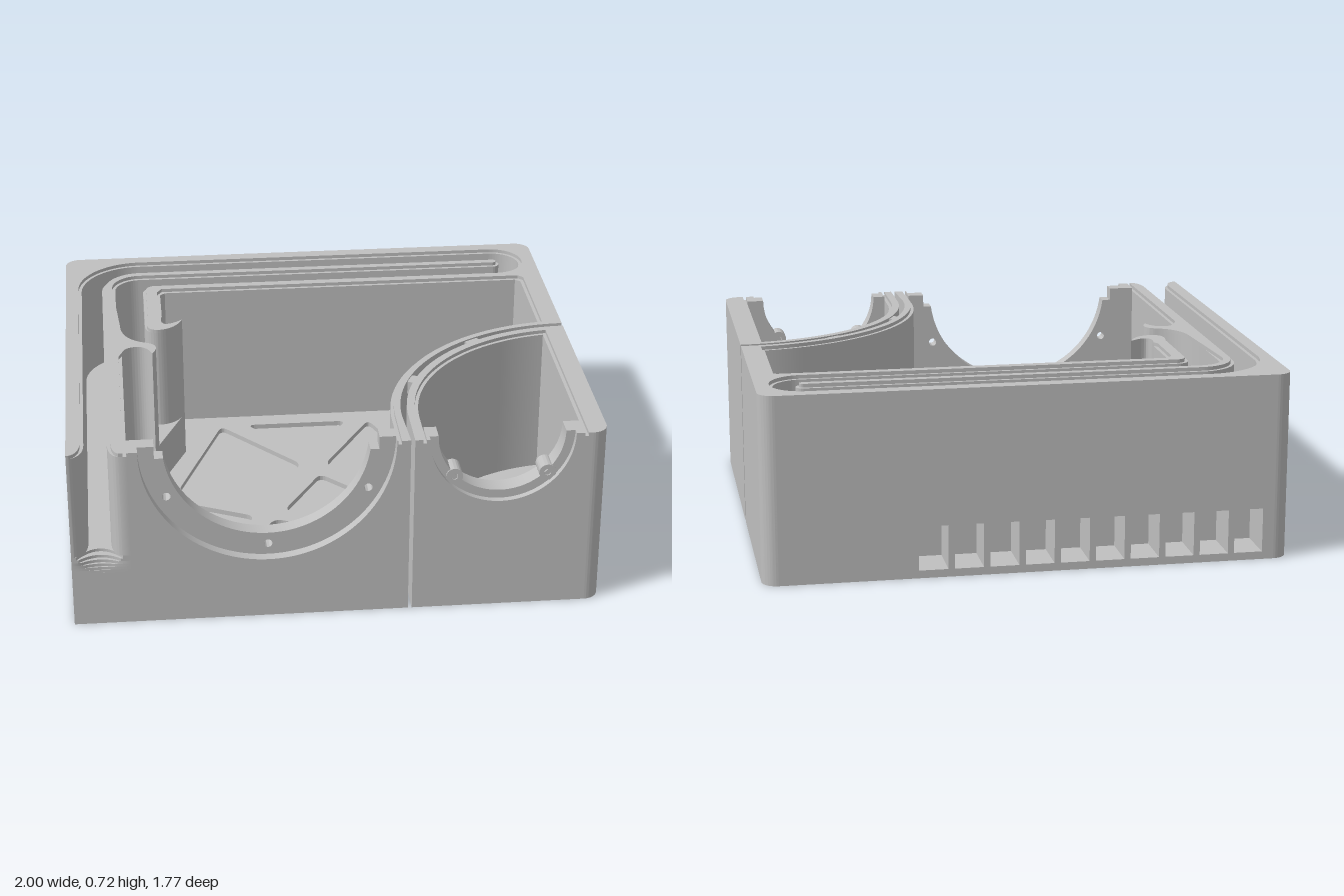
import * as THREE from 'three';
import { toCreasedNormals } from 'three/addons/utils/BufferGeometryUtils.js';

const PI = Math.PI;
const H = 0.72, FLOOR = 0.11, VENT = 0.2, SCOOP = 0.22, DUCT = 0.29, LIP = 0.706;
const CV = -0.685, SLIT = 0.735; // centre and radius of the curved slit (x = 1)

export function createModel() {
  const root = new THREE.Group();
  const grey = new THREE.MeshStandardMaterial({ color: 0xc0c0c0 });
  grey.name = 'grey';

  const add = (name, geo) => {
    const mesh = new THREE.Mesh(toCreasedNormals(geo, 0.5), grey);
    mesh.name = name;
    root.add(mesh);
    return mesh;
  };
  const extrude = (shape, depth) =>
    new THREE.ExtrudeGeometry(shape, { depth, bevelEnabled: false, curveSegments: 32 });
  // plan shapes use (x, -z) and rise from y0 to y1
  const layer = (name, shape, y0, y1) =>
    add(name, extrude(shape, y1 - y0).rotateX(-PI / 2).translate(0, y0, 0));
  // upright shapes use (x, y) and run from z0 to z1
  const panel = (name, shape, z0, z1) => add(name, extrude(shape, z1 - z0).translate(0, 0, z0));
  const disc = (x, y, r) => new THREE.Path().absarc(x, y, r, 0, PI * 2, false);

  // outer edge of the main part, from the slit round to the front left corner
  const mainOuter = (s, vents) => {
    s.lineTo(0.262, -0.885);
    s.absarc(1, CV, SLIT + 0.012, PI, PI / 2, true);
    s.absarc(0.94, 0.825, 0.06, 0, PI / 2, false);
    if (vents) for (let i = 0; i < 10; i++) {
      const x = 0.42 - i * 0.134;
      s.lineTo(x, 0.885); s.lineTo(x, 0.715); s.lineTo(x - 0.11, 0.715); s.lineTo(x - 0.11, 0.885);
    }
    s.absarc(-0.94, 0.825, 0.06, PI / 2, PI, false);
    if (vents) for (let i = 0; i < 12; i++) {
      const v = 0.7 - i * 0.1325;
      s.lineTo(-1, v); s.lineTo(-0.83, v); s.lineTo(-0.83, v - 0.11); s.lineTo(-1, v - 0.11);
    }
    s.lineTo(-1, -0.885);
    return s;
  };
  const mainPlan = (vents) => mainOuter(new THREE.Shape().moveTo(-1, -0.885), vents);

  // right part of the main chamber wall, down to the front beside the slit
  const chamberRight = (s, e) => {
    s.lineTo(0.89 + e, 0.535 + e);
    s.lineTo(0.91 + e, 0.515 + e);
    const r = SLIT + 0.05 - e;
    s.absarc(1, CV, r, PI - Math.acos((0.09 - e) / r), PI, false);
    s.lineTo(0.215 + e, -0.885);
    return s;
  };
  // curled mouth of the inner wall
  const rightCurl = (s) => {
    s.quadraticCurveTo(-0.69, 0.155, -0.63, 0.15);
    s.quadraticCurveTo(-0.56, 0.155, -0.53, 0.24);
    s.quadraticCurveTo(-0.575, 0.2, -0.6, 0.205);
    s.quadraticCurveTo(-0.625, 0.22, -0.61, 0.28);
  };
  // curled mouth of the middle wall
  const leftCurl = (s) => {
    s.quadraticCurveTo(-0.78, 0.07, -0.68, 0.035);
    s.quadraticCurveTo(-0.62, 0.01, -0.66, -0.065);
    s.quadraticCurveTo(-0.68, 0, -0.72, 0);
    s.quadraticCurveTo(-0.77, 0, -0.78, -0.05);
  };

  // outer wall joined to the inner wall; e pulls the edges in for the lip
  const outerWall = (e) => {
    const s = new THREE.Shape().moveTo(-1, -0.885);
    s.lineTo(-0.99, -0.885);
    s.quadraticCurveTo(-0.935 - e, -0.87, -0.935 - e, -0.78);
    s.absarc(-0.69, 0.575, 0.245 + e, PI, PI / 2, true);
    s.absarc(0.82, 0.7075, 0.1125 + e, PI / 2, -PI / 2, true);
    s.absarc(-0.63, 0.545, 0.05 - e, PI / 2, PI, false);
    s.lineTo(-0.68 + e, 0.25);
    rightCurl(s);
    s.lineTo(-0.61 - e, 0.3);
    s.lineTo(-0.61 - e, 0.515);
    s.lineTo(-0.59 - e, 0.535 + e);
    return mainOuter(chamberRight(s, e), false);
  };
  // folded middle wall of the duct
  const middleWall = (e) => {
    const s = new THREE.Shape().moveTo(-0.81, -0.885);
    s.quadraticCurveTo(-0.85 + e, -0.87, -0.85 + e, -0.78);
    s.absarc(-0.69, 0.575, 0.16 - e, PI, PI / 2, true);
    s.absarc(0.82, 0.7075, 0.0275 - e, PI / 2, -PI / 2, true);
    s.absarc(-0.69, 0.575, 0.105 + e, PI / 2, PI, false);
    s.lineTo(-0.795 + e, 0.2);
    leftCurl(s);
    s.lineTo(-0.78 - e, -0.08);
    s.lineTo(-0.78 - e, -0.885);
    return s;
  };
  // solid step under the duct; u (0 to 1) opens the scoop at its front end
  const ductStep = (vents, u) => {
    const s = new THREE.Shape().moveTo(-1, -0.885);
    if (u > 0) {
      const w = 0.09 * Math.sqrt(u), d = 0.1 * (1 - Math.sqrt(1 - u * u));
      s.lineTo(-0.895 - w, -0.885);
      s.quadraticCurveTo(-0.895 - w / 2, -0.885 + d, -0.895, -0.885 + d);
      s.quadraticCurveTo(-0.895 + w / 2, -0.885 + d, -0.895 + w, -0.885);
    }
    s.lineTo(-0.78, -0.885);
    s.lineTo(-0.78, -0.05);
    s.quadraticCurveTo(-0.77, 0, -0.72, 0);
    s.quadraticCurveTo(-0.68, 0, -0.66, -0.065);
    s.lineTo(-0.53, 0.24);
    s.quadraticCurveTo(-0.575, 0.2, -0.6, 0.205);
    s.quadraticCurveTo(-0.625, 0.22, -0.61, 0.28);
    s.lineTo(-0.61, 0.515);
    s.lineTo(-0.59, 0.535);
    return mainOuter(chamberRight(s, 0), vents);
  };

  // rounded polygon recess for the floor
  const pocket = (pts) => {
    const p = new THREE.Path(), n = pts.length, v = pts.map(([x, y]) => new THREE.Vector2(x, y));
    v.forEach((c, i) => {
      const toward = (q) => c.clone().add(q.clone().sub(c).setLength(0.04));
      const a = toward(v[(i + n - 1) % n]), b = toward(v[(i + 1) % n]);
      if (i) p.lineTo(a.x, a.y); else p.moveTo(a.x, a.y);
      p.quadraticCurveTo(c.x, c.y, b.x, b.y);
    });
    p.closePath();
    return p;
  };
  const floor = mainPlan(true);
  floor.holes = [
    [[-0.37, 0.45], [-0.06, 0.09], [-0.235, -0.25], [-0.575, -0.09]],
    [[-0.26, 0.455], [0.165, 0.455], [-0.015, 0.15]],
    [[0.26, 0.45], [0.46, -0.03], [0.27, -0.185], [0.04, 0.08]],
    [[0.35, 0.455], [0.81, 0.455], [0.81, 0.19], [0.53, 0.085]],
    [[0.01, -0.005], [0.24, -0.25], [0.155, -0.435], [-0.16, -0.29]],
    [[-0.605, -0.17], [-0.28, -0.325], [-0.485, -0.7], [-0.69, -0.7], [-0.69, -0.5]],
    [[-0.205, -0.355], [0.15, -0.515], [0.13, -0.7], [-0.39, -0.7]],
  ].map(pocket);

  // main part, stacked from the bottom up
  layer('basePlate', mainPlan(false), 0, 0.03);
  layer('ventedBase', mainPlan(true), 0.03, FLOOR - 0.02);
  layer('chamberFloor', floor, FLOOR - 0.02, FLOOR);
  layer('ventedWall', ductStep(true, 0), FLOOR, VENT);
  layer('ductStep', ductStep(false, 0), VENT, SCOOP);
  const SLICES = 6, rise = (DUCT - SCOOP) / SLICES;
  for (let i = 0; i < SLICES; i++)
    layer('ductScoop', ductStep(false, (i + 0.5) / SLICES), SCOOP + i * rise, SCOOP + (i + 1) * rise);
  layer('outerWall', outerWall(0), DUCT, LIP);
  layer('middleWall', middleWall(0), DUCT, LIP);
  layer('outerWallLip', outerWall(0.013), LIP, H);
  layer('middleWallLip', middleWall(0.013), LIP, H);

  // small corner part
  const smallPlan = () => {
    const s = new THREE.Shape().moveTo(0.277, -0.885);
    s.lineTo(0.277, -0.8);
    s.absarc(1, CV, SLIT - 0.012, PI, PI / 2, true);
    s.absarc(0.94, -0.825, 0.06, 0, -PI / 2, true);
    return s;
  };
  const smallWall = (e) => {
    const s = smallPlan(), r = SLIT - 0.055 + e;
    s.lineTo(0.91 + e, -0.885);
    s.absarc(1, CV, r, PI - Math.acos((0.09 - e) / r), PI, false);
    s.lineTo(0.32 - e, -0.885);
    return s;
  };
  layer('cornerBase', smallPlan(), 0, FLOOR);
  layer('cornerWall', smallWall(0), FLOOR, LIP);
  layer('cornerWallLip', smallWall(0.013), LIP, H);

  // front panels with stepped round openings; notch widens the top of the opening
  const opening = (x0, x1, cx, r, notch = 0, holes = []) => {
    const s = new THREE.Shape().moveTo(x0, FLOOR);
    const a = notch ? Math.asin(0.05 / r) : 0;
    s.lineTo(x1, FLOOR);
    s.lineTo(x1, H);
    if (notch) { s.lineTo(cx + r + notch, H); s.lineTo(cx + r + notch, H - 0.05); }
    s.absarc(cx, H, r, -a, a - PI, true);
    if (notch) { s.lineTo(cx - r - notch, H - 0.05); s.lineTo(cx - r - notch, H); }
    s.lineTo(x0, H);
    s.holes = holes;
    return s;
  };
  const screws = [[-0.64, 0.51], [0.11, 0.51], [-0.265, 0.29]].map(([x, y]) => disc(x, y, 0.016));
  panel('largeOpeningFlange', opening(-0.78, 0.215, -0.265, 0.385, 0.03, screws), 0.785, 0.845);
  panel('largeOpeningFront', opening(-0.78, 0.215, -0.265, 0.476), 0.845, 0.885);
  panel('smallOpeningFlange', opening(0.32, 0.91, 0.605, 0.238), 0.785, 0.86);
  panel('smallOpeningFront', opening(0.32, 0.91, 0.605, 0.272), 0.86, 0.885);

  // screw lugs of the small opening
  for (const x of [0.43, 0.78]) {
    const lug = new THREE.Shape().absarc(x, 0.55, 0.032, 0, PI * 2, false);
    lug.holes = [disc(x, 0.55, 0.013)];
    panel('screwLug', lug, 0.785, 0.865);
  }

  // clips that bridge the slit
  for (const deg of [121.5, 155]) {
    const a = deg * PI / 180;
    const clip = add('slitClip', new THREE.BoxGeometry(0.045, 0.05, 0.06));
    clip.position.set(1 + SLIT * Math.cos(a), 0.69, -(CV + SLIT * Math.sin(a)));
    clip.rotation.y = a;
  }
  return root;
}
